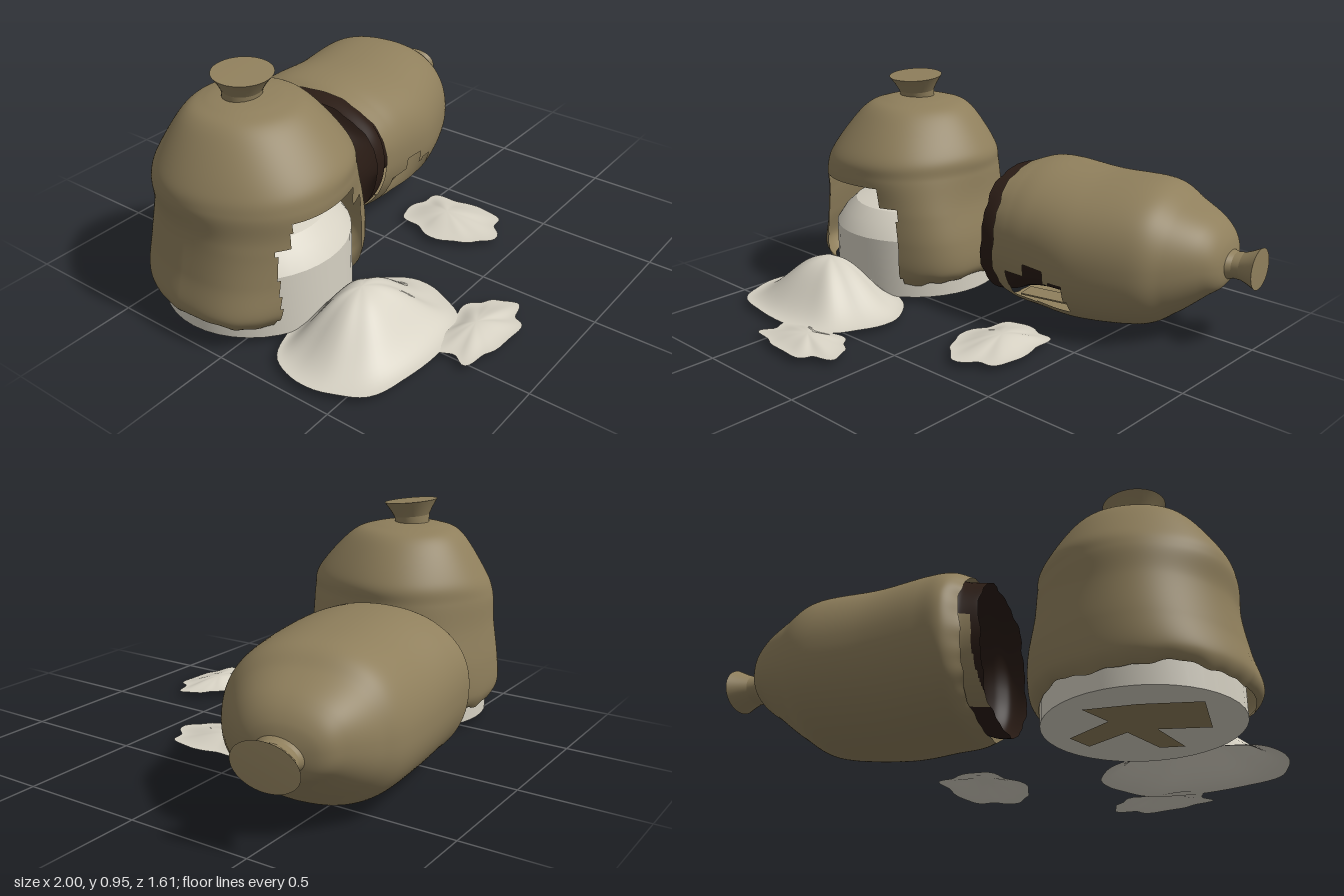
import * as THREE from 'three';
import { toCreasedNormals } from 'three/addons/utils/BufferGeometryUtils.js';

const { sin, cos, abs, sign, PI } = Math;
const mat = (name, color) =>
  Object.assign(new THREE.MeshStandardMaterial({ color, side: THREE.DoubleSide }), { name });

// Catmull-Rom sample of a table of cross-sections, v in 0..1
function section(rows, v) {
  const f = v * (rows.length - 1);
  const i = Math.min(Math.floor(f), rows.length - 2), t = f - i;
  const at = k => rows[Math.max(0, Math.min(rows.length - 1, k))];
  return rows[0].map((_, c) => {
    const [a, b, d, e] = [at(i - 1)[c], at(i)[c], at(i + 1)[c], at(i + 2)[c]];
    return b + 0.5 * t * (d - a + t * (2 * a - 5 * b + 4 * d - e + t * (3 * (b - d) + e - a)));
  });
}

// Grid closed around u; pick(centre) gives a material index, or -1 for a gap
function surface(name, fn, nu, nv, mats, pick = () => 0) {
  const pts = [], lists = mats.map(() => []);
  for (let j = 0; j <= nv; j++)
    for (let i = 0; i < nu; i++) pts.push(fn((i / nu) * 2 * PI, j / nv));
  const mid = new THREE.Vector3();
  for (let j = 0; j < nv; j++)
    for (let i = 0; i < nu; i++) {
      const a = j * nu + i, b = j * nu + (i + 1) % nu, c = b + nu, d = a + nu;
      mid.copy(pts[a]).add(pts[c]).multiplyScalar(0.5);
      const m = pick(mid);
      if (m >= 0) lists[m].push(a, d, c, a, c, b);
    }
  const g = new THREE.BufferGeometry().setFromPoints(pts);
  g.setIndex(lists.flat());
  let start = 0;
  lists.forEach((l, m) => { g.addGroup(start, l.length, m); start += l.length; });
  g.computeVertexNormals();
  const mesh = new THREE.Mesh(g, mats);
  mesh.name = name;
  return mesh;
}

function lathe(name, profile, material) {
  const g = new THREE.LatheGeometry(profile.map(p => new THREE.Vector2(...p)), 40);
  const mesh = new THREE.Mesh(toCreasedNormals(g, 0.35), material);
  mesh.name = name;
  return mesh;
}

// Soft dents in the cloth, frayed edges, and rounded-square sections
const dent = (a, v) => 1 + 0.01 * sin(3 * a + 5 * v) + 0.008 * sin(5 * a - 7 * v + 1);
const ragged = a => sin(5 * a) + 0.6 * sin(11 * a + 1) + 0.4 * sin(23 * a);
const square = (x, power) => sign(x) * abs(x) ** power;
const NECK = [[0.1, -0.04], [0.08, 0], [0.083, 0.03], [0.1, 0.06], [0.125, 0.095], [0, 0.097]];

// y, left, right, back, front
const STANDING = [
  [0.08, -0.97, -0.21, -0.57, 0.14], [0.15, -1.0, -0.17, -0.6, 0.19],
  [0.28, -0.97, -0.17, -0.6, 0.2], [0.44, -0.945, -0.2, -0.58, 0.2],
  [0.56, -0.955, -0.21, -0.57, 0.21], [0.65, -0.925, -0.22, -0.54, 0.185],
  [0.8, -0.82, -0.33, -0.44, 0.05], [0.845, -0.73, -0.43, -0.35, -0.05],
  [0.86, -0.6, -0.58, -0.21, -0.19]];

// distance from mouth, back, front, bottom, top
const LYING = [
  [0.04, -0.36, 0.335, 0.04, 0.62], [0.1, -0.41, 0.35, 0.017, 0.635],
  [0.2, -0.4, 0.37, 0.012, 0.64], [0.4, -0.37, 0.395, 0.005, 0.625],
  [0.65, -0.335, 0.36, 0.03, 0.62], [0.77, -0.28, 0.3, 0.1, 0.56],
  [0.88, -0.2, 0.22, 0.19, 0.5], [0.94, -0.13, 0.14, 0.24, 0.43],
  [0.965, -0.01, 0.01, 0.32, 0.34]];
const LINING = [
  [-0.025, -0.33, 0.32, 0.05, 0.6], [0.04, -0.345, 0.325, 0.055, 0.605],
  [0.1, -0.37, 0.29, 0.07, 0.6], [0.2, -0.35, 0.27, 0.08, 0.58],
  [0.4, -0.32, 0.27, 0.08, 0.55], [0.55, -0.22, 0.2, 0.14, 0.48],
  [0.6, -0.01, 0.01, 0.31, 0.33]];

const AXIS = new THREE.Vector3(0.977, 0, -0.212);
const ACROSS = new THREE.Vector3(0.212, 0, 0.977);
const MOUTH = new THREE.Vector3(-0.07, 0, -0.34);
const onAxis = (s, p, y) => MOUTH.clone().addScaledVector(AXIS, s)
  .addScaledVector(ACROSS, p).setY(y);

const lyingPoint = rows => (a, v) => {
  const [s, b, f, lo, hi] = section(rows, v);
  const k = 1 + (dent(a, v) - 1) * 0.6;
  const edge = 0.005 * ragged(a) * (1 - v) ** 10;
  return onAxis(s + edge, (b + f) / 2 + square(cos(a), 0.9) * k * (f - b) / 2,
    Math.max(0, (lo + hi) / 2 + square(sin(a), 0.9) * k * (hi - lo) / 2));
};

// Flour heap with a lobed outline and soft ridges, open underneath
function heap(name, x, z, rx, rz, height, lobes, seed, material) {
  const fn = (a, r) => {
    const o = r * (1 - lobes + lobes * (0.6 * sin(5 * a + seed) + 0.4 * sin(8 * a + 2 * seed)));
    const ridge = 1 + 0.2 * sin(6 * a + seed) * r * r;
    return new THREE.Vector3(x + rx * o * square(cos(a), 0.85),
      0.03 + height * (0.5 + 0.5 * cos(PI * r ** 1.1)) * ridge,
      z - rz * o * square(sin(a), 0.85) - 0.12 * rz * (1 - r));
  };
  return surface(name, fn, 64, 20, [material]);
}

export function createModel() {
  const group = new THREE.Group();
  const cloth = mat('burlap', 0x8f7f5c);
  const dark = mat('dark lining', 0x2a1c15);
  const flour = mat('flour', 0xd6d1c3);

  // Upright sack, torn open at the front
  const standing = new THREE.Group();
  standing.name = 'standingSack';
  const standingPoint = (a, v) => {
    const [y, l, r, b, f] = section(STANDING, v), k = dent(a, v);
    const hem = (0.02 + 0.008 * ragged(a) - 0.02 * Math.max(0, sin(a))) * (1 - v) ** 12;
    const power = sin(a) > 0 ? 0.65 + 0.35 * THREE.MathUtils.smoothstep(y, 0.4, 0.65) : 1;
    return new THREE.Vector3((l + r) / 2 + cos(a) * k * (r - l) / 2, y + hem,
      (b + f) / 2 + square(sin(a), power) * k * (f - b) / 2);
  };
  const frontTear = p => p.z > -0.15 && p.x > -0.82 + (p.y > 0.42 ? 0.05 : 0) &&
    p.x < (p.y > 0.44 ? -0.44 : -0.355) && p.y < 0.525;
  standing.add(surface('standingBody', standingPoint, 180, 120, [cloth],
    p => (frontTear(p) ? -1 : 0)));
  const neck = lathe('standingNeck', NECK, cloth);
  neck.position.set(-0.59, 0.85, -0.21);
  neck.rotation.x = 0.1;
  neck.scale.z = 0.88;
  standing.add(neck);

  // Packed flour with a sloping top inside the upright sack
  const core = lathe('packedFlour', [[0, 0.03], [0.37, 0.03], [0.37, 0.285], [0.33, 0.345],
    [0.28, 0.39], [0.2, 0.41], [0, 0.418]], flour);
  core.position.set(-0.58, 0, -0.19);
  standing.add(core);

  // Torn scrap of cloth on the underside
  const scrap = new THREE.Mesh(new THREE.ShapeGeometry(new THREE.Shape([[-0.27, -0.13],
    [-0.06, -0.21], [0.13, -0.25], [0.09, -0.11], [0.28, -0.02], [0.25, 0.09], [0.07, 0.02],
    [0.02, 0.22], [-0.07, 0.25], [-0.04, 0.04], [-0.22, 0.11]]
    .map(p => new THREE.Vector2(...p)))), cloth);
  scrap.name = 'undersideScrap';
  scrap.rotation.x = PI / 2;
  scrap.position.set(-0.58, 0.026, -0.19);
  standing.add(scrap);

  // Fallen sack, open at the mouth, with a tear in its side
  const lying = new THREE.Group();
  lying.name = 'lyingSack';
  const sideTear = p => p.z > -0.3 && p.x > 0.1 && p.x < 0.39 && p.y > 0.115 &&
    (p.y < 0.235 || (p.x > 0.2 && p.x < 0.3 && p.y < 0.29));
  lying.add(surface('lyingBody', lyingPoint(LYING), 150, 120, [cloth],
    p => (sideTear(p) ? -1 : 0)));

  // Dark inside, with bare cloth low on the far wall of the mouth
  const bare = p => p.x > -0.135 && p.x < -0.03 && p.y > 0.08 && p.y < 0.37 && p.z < -0.45;
  lying.add(surface('lyingLining', lyingPoint(LINING), 120, 80, [dark, cloth],
    p => (bare(p) ? 1 : 0)));

  // Cloth fold lying inside the side tear
  const fold = new THREE.Mesh(new THREE.BoxGeometry(0.24, 0.006, 0.09), cloth);
  fold.name = 'tearFold';
  fold.position.copy(onAxis(0.255, 0.21, 0.112));
  fold.rotation.y = 0.214;
  lying.add(fold);

  const lyingNeck = lathe('lyingNeck', NECK, cloth);
  lyingNeck.position.copy(onAxis(0.973, 0.01, 0.325));
  lyingNeck.quaternion.setFromUnitVectors(new THREE.Vector3(0, 1, 0), AXIS.clone().normalize());
  lyingNeck.scale.x = 0.68;
  lying.add(lyingNeck);

  group.add(standing, lying,
    heap('largeFlourHeap', -0.585, 0.365, 0.385, 0.285, 0.195, 0.03, 0.6, flour),
    heap('smallFlourHeap', -0.325, 0.685, 0.235, 0.135, 0.027, 0.12, 2, flour),
    heap('sideFlourHeap', 0.255, 0.18, 0.175, 0.235, 0.032, 0.1, 4, flour));
  return group;
}
